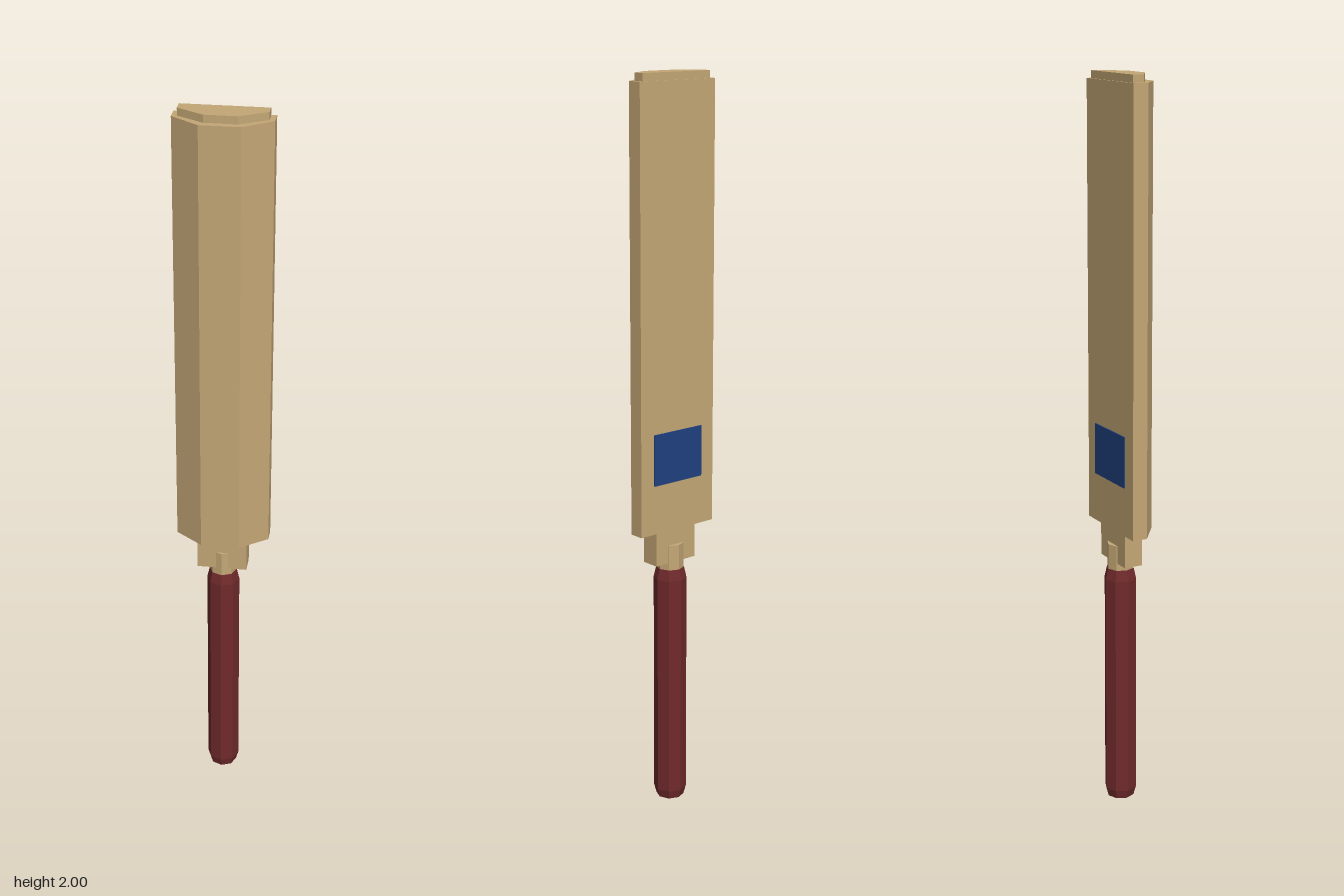
import * as THREE from 'three';

const wood = new THREE.MeshStandardMaterial({ name: 'wood', color: 0xc4a776, flatShading: true });
const grip = new THREE.MeshStandardMaterial({ name: 'gripRed', color: 0x702a2c, flatShading: true });
const blue = new THREE.MeshStandardMaterial({ name: 'stickerBlue', color: 0x20407f, flatShading: true });

const HANDLE_Z = -0.012;

// upright prism from half an outline of [x, z] points, mirrored across x
function prism(name, half, y0, y1) {
  const mirrored = half.map(([x, z]) => [-x, z]).reverse();
  const points = [...half, ...mirrored].map(([x, z]) => new THREE.Vector2(x, -z));
  const geometry = new THREE.ExtrudeGeometry(new THREE.Shape(points), { depth: y1 - y0, bevelEnabled: false });
  geometry.rotateX(-Math.PI / 2).translate(0, y0, 0);
  return named(name, geometry, wood);
}

function named(name, geometry, material) {
  const mesh = new THREE.Mesh(geometry, material);
  mesh.name = name;
  return mesh;
}

export function createModel() {
  const bat = new THREE.Group();
  bat.name = 'bat';

  // blade: flat back, upright edges, sloping front faces
  bat.add(prism('blade', [[0.052, 0.055], [0.126, 0], [0.126, -0.042]], 0.795, 1.98));
  bat.add(prism('bladeTip', [[0.042, 0.037], [0.112, 0.004 - 0.009], [0.112, -0.037]], 1.98, 2));

  // shoulder block joining blade and handle
  const shoulder = named('shoulder', new THREE.BoxGeometry(0.136, 0.096, 0.053), wood);
  shoulder.position.set(0, 0.748, -0.0085);
  bat.add(shoulder);

  // wooden handle core, showing above the grip
  const core = named('handleCore', new THREE.CylinderGeometry(0.037, 0.037, 0.09, 8), wood);
  core.position.set(0, 0.705, HANDLE_Z);
  bat.add(core);

  // eight-sided grip with chamfered ends
  const profile = [[0, 0], [0.038, 0], [0.045, 0.025], [0.045, 0.65], [0.038, 0.68], [0, 0.68]]
    .map(([r, y]) => new THREE.Vector2(r, y));
  const handle = named('grip', new THREE.LatheGeometry(profile, 8), grip);
  handle.position.z = HANDLE_Z;
  bat.add(handle);

  // sticker on the back of the blade
  const sticker = named('sticker', new THREE.BoxGeometry(0.164, 0.14, 0.006), blue);
  sticker.position.set(0, 1.0, -0.043);
  bat.add(sticker);

  return bat;
}
